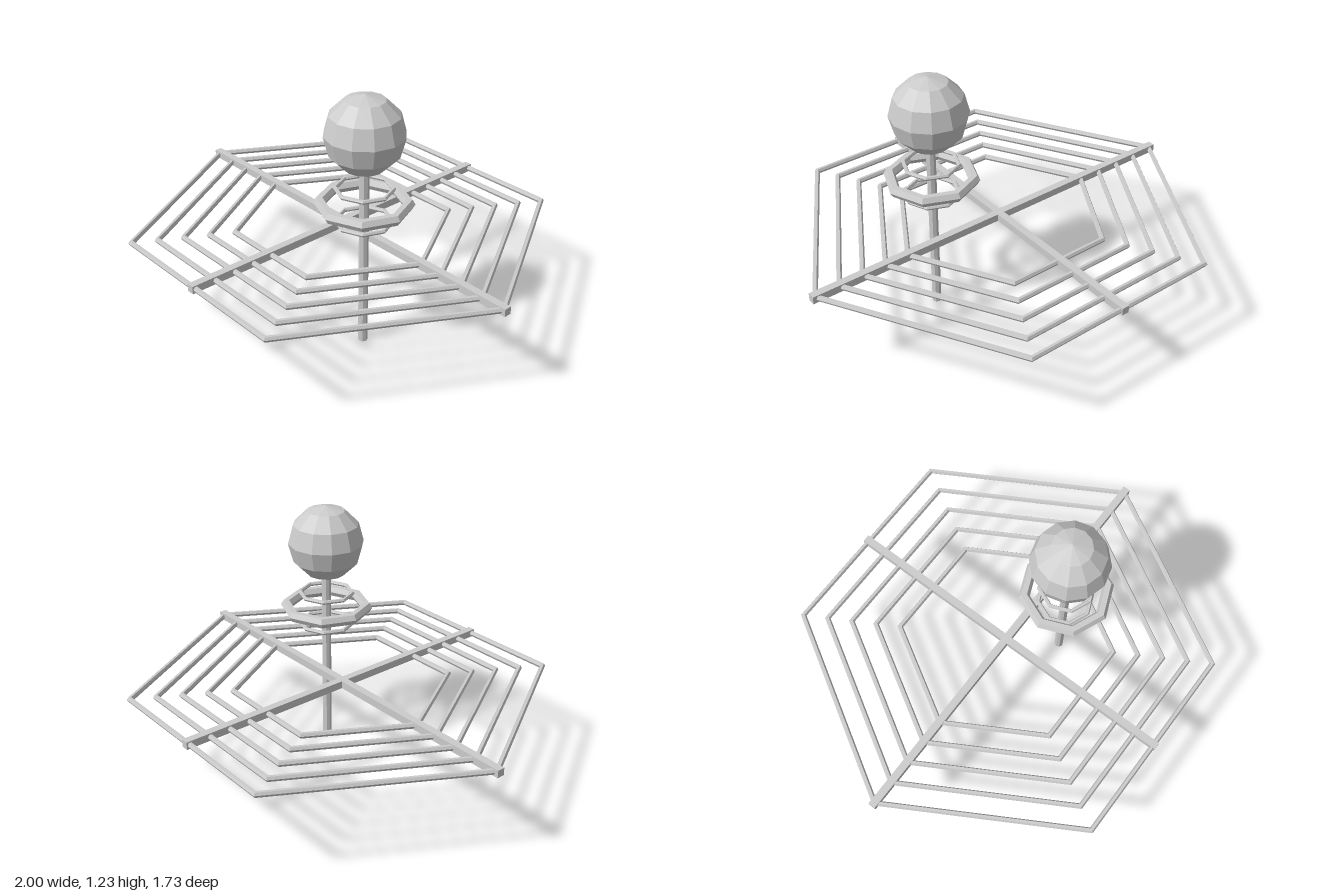
import * as THREE from 'three';

const material = new THREE.MeshStandardMaterial({ color: 0xcccccc, flatShading: true });

export function createModel() {
  const model = new THREE.Group();
  const add = (name, geometry, x, y, z) => {
    const mesh = new THREE.Mesh(geometry, material);
    mesh.name = name;
    mesh.position.set(x, y, z);
    model.add(mesh);
    return mesh;
  };
  // horizontal polygonal ring made of a faceted tube
  const ring = (name, radius, tube, sides, x, y, z) =>
    add(name, new THREE.TorusGeometry(radius, tube, 6, sides).rotateX(Math.PI / 2), x, y, z);

  // concentric hexagonal frame
  const frameY = 0.46;
  for (let i = 0; i < 5; i++) ring('hexRing' + (i + 1), 0.981 - i * 0.1175, 0.014, 6, 0, frameY, 0);

  // crossed support bars
  add('longBar', new THREE.BoxGeometry(2, 0.036, 0.036), 0, frameY, 0);
  add('shortBar', new THREE.BoxGeometry(0.036, 0.036, 1.732), 0, frameY, 0);

  // off-centre mast carrying rings and a ball
  const x = 0.28, z = 0.132;
  add('mast', new THREE.CylinderGeometry(0.022, 0.022, 0.92, 8), x, 0.46, z);
  ring('lowerRing', 0.127, 0.01, 8, x, 0.632, z);
  ring('middleRing', 0.195, 0.027, 8, x, 0.718, z);
  ring('upperRing', 0.127, 0.01, 8, x, 0.79, z);
  add('ball', new THREE.SphereGeometry(0.18, 12, 6), x, 1.047, z);

  return model;
}
